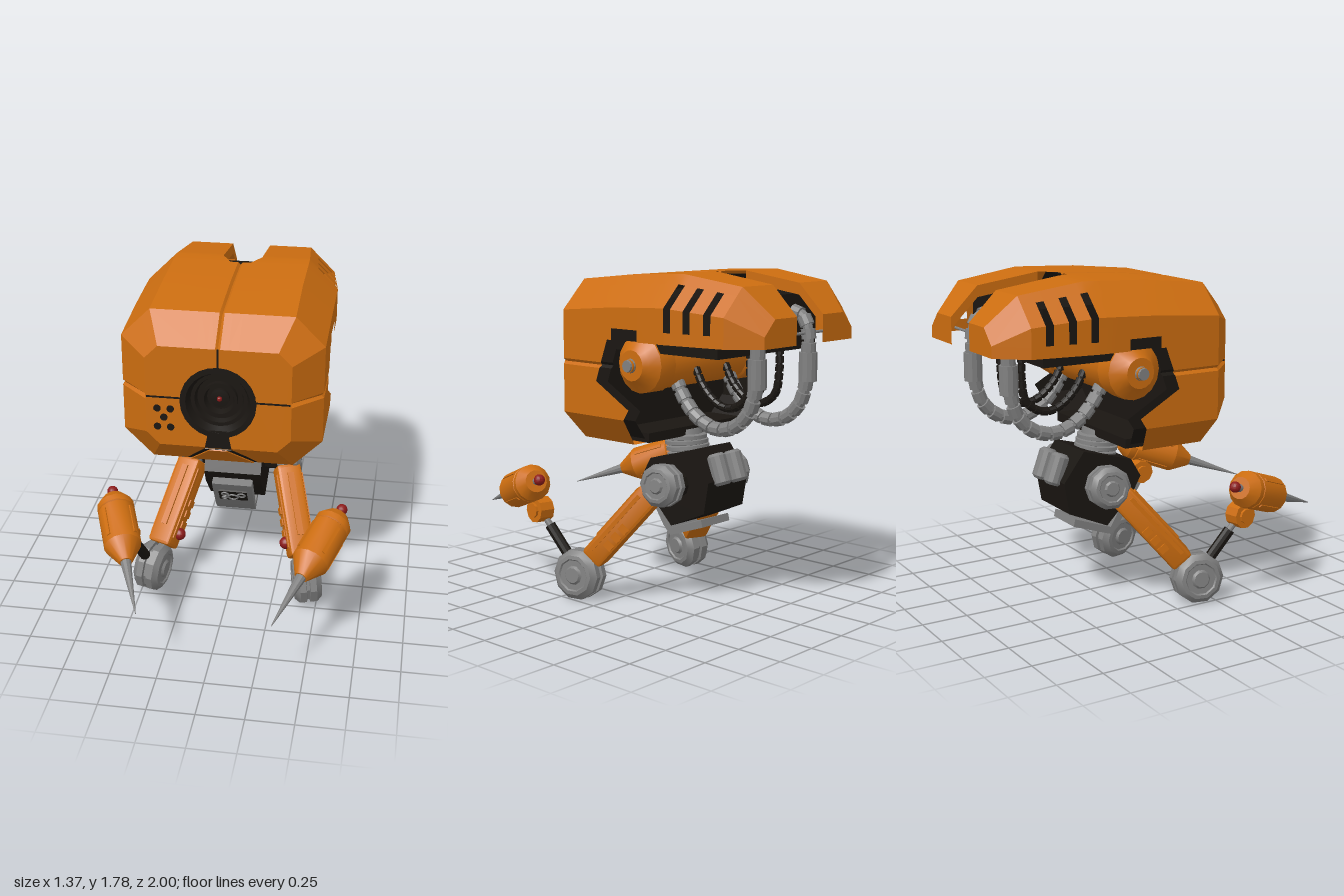
import * as THREE from 'three';
import { toCreasedNormals } from 'three/addons/utils/BufferGeometryUtils.js';
import { RoundedBoxGeometry } from 'three/addons/geometries/RoundedBoxGeometry.js';

const paint = (color) => new THREE.MeshStandardMaterial({ color, side: THREE.DoubleSide });
const orange = paint(0xcc6d10), black = paint(0x1a1612), grey = paint(0x808080), red = paint(0x8c1a1a);
const V = (x, y, z) => new THREE.Vector3(x, y, z);

function add(parent, name, geo, mat, x = 0, y = 0, z = 0) {
  const m = new THREE.Mesh(toCreasedNormals(geo, 0.5), mat);
  m.name = name;
  m.position.set(x, y, z);
  parent.add(m);
  return m;
}
const box = (w, h, d) => new THREE.BoxGeometry(w, h, d);
const lathe = (pts, sides) => new THREE.LatheGeometry(pts.map(([r, y]) => new THREE.Vector2(r, y)), sides);
const polygon = (pts) => new THREE.Shape(pts.map(([x, y]) => new THREE.Vector2(x, y)));
const slab = (pts, depth) => new THREE.ExtrudeGeometry(polygon(pts), { depth, bevelEnabled: false });
// extrude a (z, y) side profile along x, centred
const sideSlab = (pts, width) => slab(pts.map(([z, y]) => [-z, y]), width).translate(0, 0, -width / 2).rotateY(Math.PI / 2);
// cylinder between two points
function rod(parent, name, a, b, r1, r2, mat, sides = 12) {
  const m = add(parent, name, new THREE.CylinderGeometry(r2, r1, a.distanceTo(b), sides), mat);
  m.position.lerpVectors(a, b, 0.5);
  m.quaternion.setFromUnitVectors(V(0, 1, 0), b.clone().sub(a).normalize());
  return m;
}
// surface through rows of points, leaving out skipped cells
function patch(rows, skip = () => false) {
  const pos = [];
  for (let i = 0; i < rows.length - 1; i++) for (let j = 0; j < rows[i].length - 1; j++) {
    if (skip(i, j)) continue;
    const [a, b, c, d] = [rows[i][j], rows[i][j + 1], rows[i + 1][j + 1], rows[i + 1][j]];
    for (const p of [a, b, c, a, c, d]) pos.push(p.x, p.y, p.z);
  }
  const g = new THREE.BufferGeometry();
  g.setAttribute('position', new THREE.Float32BufferAttribute(pos, 3));
  g.computeVertexNormals();
  return g;
}

// head outline along z: z, half width, top, corner chamfer
const OUTLINE = [[0.35, 0.38, 1.59, 0.07], [0.2, 0.5325, 1.73, 0.155], [-0.15, 0.5325, 1.765, 0.16],
  [-0.5, 0.5325, 1.78, 0.16], [-0.85, 0.485, 1.73, 0.14], [-1, 0.36, 1.58, 0.08]];
function outline(z) {
  let i = 0;
  while (i < OUTLINE.length - 2 && z < OUTLINE[i + 1][0]) i++;
  const a = OUTLINE[i], b = OUTLINE[i + 1], t = (z - a[0]) / (b[0] - a[0]);
  return a.map((v, k) => v + (b[k] - v) * t);
}
const STATIONS = [0.35, 0.2, 0.03, -0.15, -0.33, -0.42, -0.507, -0.546, -0.62, -0.66, -0.737, -0.777, -0.85, -1];

// roof and upper side wall of one half, with rear notch and side slots
function upperHalf(s, inset, stations) {
  const rows = Array.from({ length: 9 }, () => []);
  for (const z of stations) {
    let [, w, top, c] = outline(z);
    w -= inset; top -= inset;
    const wall = top - c;
    [[0, top - 0.014], [0.013, top], [z < -0.45 ? 0.108 : 0.055, top], [0.108, top], [w - c, top],
      [w - c * 0.7, top - c * 0.3], [w, wall], [w, Math.min(1.5, wall)], [w, 1.44]]
      .forEach(([x, y], i) => rows[i].push(V(s * x, y, z - (z > 0.3 ? inset : 0))));
  }
  return patch(rows, (i, j) => (i < 2 && j >= 5) || (i === 2 && j >= 6)
    || ((i === 5 || i === 6) && (j === 6 || j === 8 || j === 10)) || (inset === 0 && i === 7 && j === 3));
}
// lower side wall and floor of one half; each row ends at its own z
function lowerHalf(s, inset, extra) {
  const rows = [[1.44, -0.12], [1.32, -0.075], [1.305, -0.07, 0.015], [1.29, -0.065], [1.22, -0.04], [1.09, -0.27]]
    .map(([y, zb, dent = 0]) => [[0.35, 0.38], [0.2, 0.5325], [zb - extra, 0.5325]]
      .map(([z, w], k) => V(s * (w - inset - dent), k ? y : Math.max(y, 1.1), z - (k ? 0 : inset + dent))));
  const f = 0.35 - inset, b = 0.88 + inset, w = 0.5325 - inset;
  rows.push([V(s * (0.38 - inset), 1.1, f), V(s * w, 1.035, 0.2), V(s * w, 1.035, -0.235 - extra)],
    [V(s * (0.31 - inset), 1.03 + inset, f), V(s * (w - 0.155), b, 0.2), V(s * (w - 0.155), b, -0.165 - extra)],
    [V(0, 1.03 + inset, f), V(0, b, 0.2), V(0, b, -0.165 - extra)]);
  return patch(rows);
}
const octagon = (w, lo, hi, c) => polygon([[-w, lo + c], [-w + c, lo], [w - c, lo], [w, lo + c],
  [w, hi - c], [w - c, hi], [-w + c, hi], [-w, hi - c]]);

// cable made of short beads on a core
function cable(parent, name, pts, r, beads, mat) {
  const g = new THREE.Group();
  g.name = name;
  parent.add(g);
  const curve = new THREE.CatmullRomCurve3(pts);
  add(g, 'cableCore', new THREE.TubeGeometry(curve, 40, r * 0.7, 8), mat);
  for (let i = 0; i < beads; i++)
    rod(g, 'cableBead', curve.getPointAt((i + 0.1) / beads), curve.getPointAt((i + 0.85) / beads), r, r, mat, 10);
}

function buildHead() {
  const head = new THREE.Group();
  head.name = 'head';
  for (const s of [-1, 1]) {
    add(head, 'upperShell', upperHalf(s, 0, STATIONS), orange);
    add(head, 'lowerShell', lowerHalf(s, 0, 0), orange);
    add(head, 'upperLiner', upperHalf(s, 0.025, STATIONS.slice(0, 5)), black);
    add(head, 'lowerLiner', lowerHalf(s, 0.025, 0.06), black);
    // rear end wall and notch edge
    add(head, 'rearWall', new THREE.ShapeGeometry(polygon([[0.108, 1.44], [0.36, 1.44], [0.36, 1.5], [0.28, 1.58], [0.108, 1.58]]
      .map(([x, y]) => [s * x, y]))), orange, 0, 0, -1);
    const rim = STATIONS.slice(6).map((z) => V(s * 0.108, outline(z)[2], z));
    add(head, 'notchRim', patch([rim, rim.map((p) => V(p.x, p.y - 0.06, p.z))]), orange);
  }
  // front face with eye opening and seams
  const face = octagon(0.38, 1.03, 1.59, 0.07);
  face.holes.push(new THREE.Path().absarc(0, 1.29, 0.19, 0, Math.PI * 2, true));
  add(head, 'facePlate', new THREE.ShapeGeometry(face, 24), orange, 0, 0, 0.35);
  for (const s of [-1, 1]) add(head, 'faceSeam', box(0.18, 0.01, 0.004), black, s * 0.285, 1.305, 0.349);
  add(head, 'faceSeam', box(0.01, 0.11, 0.004), black, 0, 1.535, 0.349);
  // recessed eye
  const rings = [[0.2, 0.33], [0.2, 0.355], [0.17, 0.355], [0.15, 0.31], [0.13, 0.31], [0.12, 0.28], [0.095, 0.28],
    [0.095, 0.31], [0.08, 0.31], [0.07, 0.27], [0.05, 0.27], [0.05, 0.29], [0.0, 0.295]];
  add(head, 'eye', lathe(rings, 24).rotateX(Math.PI / 2), black, 0, 1.29, 0);
  add(head, 'pupil', new THREE.SphereGeometry(0.014, 12, 8), red, 0, 1.29, 0.298);
  add(head, 'eyeBracket', slab([[-0.07, 1.03], [0.07, 1.03], [0.05, 1.13], [-0.05, 1.13]], 0.006), black, 0, 0, 0.348);
  // chin wedge on the sloped lower edge
  const chinBack = add(head, 'chinRecess', slab([[-0.19, 0], [0.19, 0], [0.07, 0.205], [-0.07, 0.205]], 0.004), black, 0, 0.885, 0.2);
  const chin = add(head, 'chin', slab([[-0.17, 0], [0.17, 0], [0.045, 0.2], [-0.045, 0.2]], 0.01), orange, 0, 0.885, 0.2);
  chinBack.rotation.x = chin.rotation.x = 0.82;
  // speaker holes
  for (const [x, y] of [[-0.32, 1.24], [-0.25, 1.24], [-0.285, 1.19], [-0.32, 1.135], [-0.25, 1.135]])
    add(head, 'speakerHole', new THREE.CylinderGeometry(0.02, 0.02, 0.006, 12).rotateX(Math.PI / 2), black, x, y, 0.35);
  // inner structure
  add(head, 'bulkhead', new THREE.ShapeGeometry(octagon(0.51, 0.9, 1.74, 0.155)), black, 0, 0, -0.03);
  add(head, 'ceilingBlock', box(0.8, 0.29, 0.71), black, 0, 1.52, -0.39);
  add(head, 'floorPlate', box(0.74, 0.05, 0.26), black, 0, 0.925, -0.13);
  // motor drum across the head
  const drum = [[0.0, -0.5], [0.035, -0.5], [0.035, -0.475], [0.08, -0.475], [0.1, -0.45], [0.15, -0.41], [0.15, -0.3], [0.14, -0.29]];
  const full = [...drum, ...drum.map(([r, y]) => [r, -y]).reverse()];
  add(head, 'motor', lathe(full, 16).rotateZ(Math.PI / 2), orange, 0, 1.31, -0.235);
  for (const s of [-1, 1]) {
    rod(head, 'motorHub', V(s * 0.48, 1.31, -0.235), V(s * 0.51, 1.31, -0.235), 0.038, 0.03, grey);
    // cables from the motor up to the rear overhang
    const x = s * 0.21;
    cable(head, 'cable', [V(x, 1.23, -0.3), V(x, 1.13, -0.36), V(x, 1.04, -0.45), V(x, 0.99, -0.58),
      V(x, 1.02, -0.71), V(x, 1.11, -0.8), V(x, 1.24, -0.835)], 0.038, 11, grey);
    rod(head, 'cableSleeve', V(x, 1.22, -0.84), V(x, 1.37, -0.84), 0.048, 0.048, grey);
    cable(head, 'cableTop', [V(x, 1.36, -0.84), V(x, 1.47, -0.84), V(x, 1.55, -0.81), V(x, 1.58, -0.73)], 0.038, 4, grey);
    const k = s * 0.12;
    cable(head, 'innerCable', [V(k, 1.28, -0.36), V(k, 1.18, -0.42), V(k, 1.1, -0.52), V(k, 1.09, -0.61),
      V(k, 1.15, -0.7), V(k, 1.28, -0.725), V(k, 1.44, -0.72)], 0.022, 17, black);
  }
  rod(head, 'rearBar', V(-0.42, 1.47, -0.84), V(0.42, 1.47, -0.84), 0.008, 0.008, grey, 8);
  head.position.x = -0.0275;
  return head;
}

function buildBody() {
  const body = new THREE.Group();
  body.name = 'body';
  add(body, 'torso', sideSlab([[-0.03, 0.67], [-0.09, 0.77], [-0.38, 0.85], [-0.5, 0.69], [-0.47, 0.52], [-0.24, 0.42], [-0.08, 0.58]], 0.32), black);
  add(body, 'bellyPlate', sideSlab([[0, 0.61], [-0.05, 0.625], [-0.19, 0.39], [-0.41, 0.47], [-0.42, 0.43], [-0.19, 0.35], [-0.14, 0.4]], 0.225), grey);
  // dial panel on the sloping belly plate
  const panel = new THREE.Group();
  panel.name = 'dialPanel';
  panel.position.set(0, 0.51, -0.06);
  panel.rotation.x = 0.588;
  body.add(panel);
  add(panel, 'dialScreen', box(0.16, 0.1, 0.01), black, 0, 0, 0);
  for (const [x, y, r] of [[-0.045, 0.02, 0.018], [0, -0.01, 0.028], [0.05, 0.015, 0.02], [-0.05, -0.025, 0.013]])
    add(panel, 'dial', new THREE.TorusGeometry(r, 0.006, 6, 10), grey, x, y, 0.006);
  // ribbed neck
  for (let i = 0; i < 5; i++) {
    const g = lathe([[0.09, -0.018], [0.118, -0.01], [0.118, 0.01], [0.09, 0.018]], 20);
    add(body, 'neckRing', g, grey, 0, 0.77 + i * 0.029, -0.235 + i * 0.009).rotation.x = 0.2 - i * 0.04;
  }
  rod(body, 'neckCore', V(0, 0.72, -0.24), V(0, 0.92, -0.2), 0.09, 0.09, grey, 16);
  // rear canisters
  for (const s of [-1, 1]) {
    const can = add(body, 'canister', lathe([[0, -0.085], [0.035, -0.085], [0.05, -0.07], [0.05, 0.07], [0.035, 0.085], [0, 0.085]], 12), grey, s * 0.065, 0.75, -0.495);
    can.rotation.x = 0.35;
  }
  body.position.x = -0.0125;
  return body;
}

// grooved two-disc wheel with axis along x
function wheel(parent, name, p, r, w, tilt, yaw) {
  const side = [[0, 0.5], [r * 0.3, 0.5], [r * 0.38, 0.42], [r * 0.6, 0.42], [r * 0.65, 0.47], [r * 0.8, 0.45], [r, 0.28], [r, 0.07], [r * 0.88, 0.05]];
  const pts = [...side, ...side.map(([a, b]) => [a, -b]).reverse()].map(([a, b]) => [a, b * w]);
  const m = add(parent, name, lathe(pts, 10).rotateZ(Math.PI / 2), grey, p.x, p.y, p.z);
  m.rotation.set(0, yaw, tilt);
}

function buildLeg(s) {
  const leg = new THREE.Group();
  leg.name = s > 0 ? 'leftLeg' : 'rightLeg';
  const P = (x, y, z) => V(s * x, y, z);
  rod(leg, 'hipAxle', P(0.1, 0.66, -0.29), P(0.23, 0.66, -0.29), 0.075, 0.075, black, 10);
  wheel(leg, 'hipWheel', P(0.275, 0.67, -0.295), 0.115, 0.15, s * 0.1, s * 0.15);
  // thigh beam with raised slats
  const a = P(0.27, 0.63, -0.23), b = P(0.4, 0.235, 0.09);
  const thigh = new THREE.Group();
  thigh.name = 'thigh';
  thigh.position.lerpVectors(a, b, 0.5);
  thigh.lookAt(b);
  leg.add(thigh);
  add(thigh, 'thighBeam', new RoundedBoxGeometry(0.14, 0.13, a.distanceTo(b), 1, 0.018), orange);
  add(thigh, 'thighRail', box(0.035, 0.02, 0.36), orange, 0, 0.065, -0.03);
  for (const side of [-1, 1]) {
    add(thigh, 'thighSideRail', box(0.014, 0.022, 0.42), orange, side * 0.07, 0.032, 0);
    for (let i = 0; i < 3; i++) add(thigh, 'thighSlat', box(0.016, 0.05, 0.04), orange, side * 0.07, -0.025, -0.01 + i * 0.065);
  }
  add(leg, 'kneeLamp', new THREE.SphereGeometry(0.035, 14, 10), red, s * 0.305, 0.29, 0.05);
  wheel(leg, 'footWheel', P(0.438, 0.138, 0.163), 0.139, 0.165, s * 0.08, s * 0.22);
  // forearm strut and elbow
  const elbow = P(0.515, 0.47, 0.39);
  rod(leg, 'strutCore', P(0.455, 0.2, 0.2), elbow, 0.018, 0.018, grey);
  rod(leg, 'strut', P(0.468, 0.25, 0.235), P(0.497, 0.39, 0.335), 0.03, 0.03, black, 10);
  rod(leg, 'elbow', P(0.475, 0.472, 0.385), P(0.56, 0.475, 0.395), 0.07, 0.07, orange, 10);
  rod(leg, 'elbowCap', P(0.46, 0.472, 0.385), P(0.575, 0.475, 0.395), 0.04, 0.04, orange, 10);
  // drill
  const rear = P(0.605, 0.65, 0.33), tip = P(0.345, 0.4, 1);
  const drill = new THREE.Group();
  drill.name = 'drill';
  drill.position.copy(rear);
  drill.lookAt(tip);
  leg.add(drill);
  const len = rear.distanceTo(tip);
  const casing = [[0, -0.015], [0.06, -0.015], [0.1, 0.04], [0.1, 0.075], [0.094, 0.08], [0.1, 0.085], [0.1, 0.32], [0.035, 0.43], [0, 0.43]];
  add(drill, 'drillCasing', lathe(casing, 14).rotateX(Math.PI / 2), orange);
  for (let i = 0; i < 4; i++) {
    const t = Math.PI / 4 + i * Math.PI / 2;
    add(drill, 'drillRib', box(0.02, 0.02, 0.18), orange, 0.094 * Math.cos(t), 0.094 * Math.sin(t), 0.2).rotation.z = t;
  }
  rod(drill, 'drillBit', V(0, 0, 0.42), V(0, 0, len), 0.03, 0.002, grey, 10);
  rod(drill, 'knobStem', V(0, 0, -0.06), V(0, 0, 0), 0.018, 0.022, grey);
  add(drill, 'knob', new THREE.SphereGeometry(0.03, 14, 10), red, 0, 0, -0.065);
  return leg;
}

export function createModel() {
  const model = new THREE.Group();
  model.name = 'drillRobot';
  model.add(buildHead(), buildBody(), buildLeg(-1), buildLeg(1));
  return model;
}
